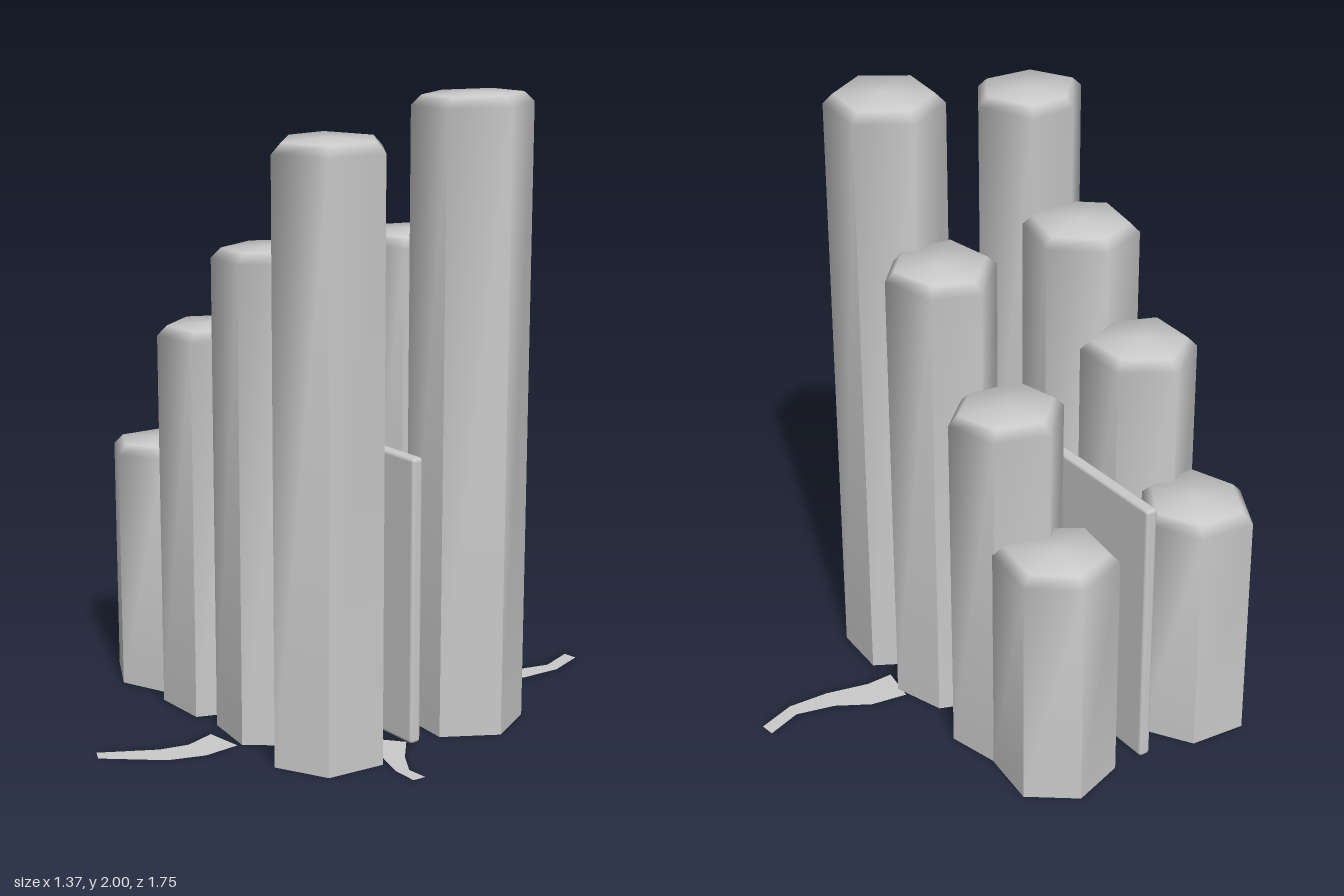
import * as THREE from 'three';
import { RoundedBoxGeometry } from 'three/addons/geometries/RoundedBoxGeometry.js';

// Irregular hexagonal prism with a bevelled, slightly tilted top.
// Lower corners stay sharp, the upper rim and cap are smooth.
function columnGeometry(outline, height, tilt) {
  const n = outline.length;
  const cx = outline.reduce((s, p) => s + p[0], 0) / n;
  const cz = outline.reduce((s, p) => s + p[1], 0) / n;
  const pos = [], idx = [];
  const add = (x, y, z) => pos.push(x, y, z) / 3 - 1;
  const ring = (inset, drop) => outline.map(([x, z]) => {
    const px = cx + (x - cx) * inset, pz = cz + (z - cz) * inset;
    return add(px, height - drop + tilt * (px - cx), pz);
  });
  const rim = ring(1, 0.036), lip = ring(0.83, 0.005);
  const crown = add(cx, height, cz);
  const base = add(cx, 0, cz);
  const floor = outline.map(([x, z]) => add(x, 0, z));
  for (let i = 0; i < n; i++) {
    const j = (i + 1) % n;
    const a = add(outline[i][0], 0, outline[i][1]);
    const b = add(outline[j][0], 0, outline[j][1]);
    idx.push(b, a, rim[i], b, rim[i], rim[j]);
    idx.push(rim[j], rim[i], lip[i], rim[j], lip[i], lip[j]);
    idx.push(crown, lip[j], lip[i]);
    idx.push(base, floor[i], floor[j]);
  }
  const g = new THREE.BufferGeometry();
  g.setAttribute('position', new THREE.Float32BufferAttribute(pos, 3));
  g.setIndex(idx);
  g.computeVertexNormals();
  // Lean the lip normals outward so the cap shades as a soft dome
  outline.forEach(([x, z], i) => {
    const normal = new THREE.Vector3(x - cx, 0, z - cz).setLength(0.5).setY(0.87);
    g.attributes.normal.setXYZ(lip[i], ...normal);
  });
  return g;
}

// Flat strip on the ground between two edge lines.
function crackGeometry(left, right) {
  const pos = [], idx = [];
  left.forEach((l, i) => {
    const r = right[i];
    pos.push(l[0], 0, l[1], r[0], 0, r[1]);
    if (i === 0) return;
    const a = (i - 1) * 2;
    idx.push(a, a + 2, a + 3, a, a + 3, a + 1);
  });
  const g = new THREE.BufferGeometry();
  g.setAttribute('position', new THREE.Float32BufferAttribute(pos, 3));
  g.setIndex(idx);
  g.computeVertexNormals();
  return g;
}

export function createModel() {
  const model = new THREE.Group();
  model.name = 'stoneColumns';
  const stone = new THREE.MeshStandardMaterial({ color: 0xcacaca, name: 'stone grey', side: THREE.DoubleSide });
  const part = (name, geometry) => {
    const mesh = new THREE.Mesh(geometry, stone);
    mesh.name = name;
    model.add(mesh);
    return mesh;
  };

  // Back row: height, tilt, outline as x, z
  const backRow = [
    [0.815, 0.03, [[-0.67, -0.262], [-0.557, -0.402], [-0.36, -0.375], [-0.34, -0.192], [-0.427, -0.057], [-0.612, -0.082]]],
    [1.2, -0.05, [[-0.367, -0.372], [-0.187, -0.41], [-0.067, -0.277], [-0.112, -0.082], [-0.292, -0.057], [-0.428, -0.207]]],
    [1.54, 0.03, [[-0.027, -0.357], [0.143, -0.407], [0.263, -0.292], [0.243, -0.092], [0.053, -0.057], [-0.088, -0.212]]],
    [1.995, 0.04, [[0.303, -0.402], [0.493, -0.387], [0.58, -0.222], [0.478, -0.057], [0.293, -0.072], [0.207, -0.242]]],
  ];
  // Front row
  const frontRow = [
    [0.82, 0.06, [[-0.507, 0.108], [-0.353, 0.208], [-0.353, 0.408], [-0.517, 0.473], [-0.683, 0.383], [-0.663, 0.198]]],
    [1.255, 0.04, [[-0.307, 0.137], [-0.122, 0.133], [-0.057, 0.293], [-0.122, 0.452], [-0.307, 0.452], [-0.408, 0.293]]],
    [1.545, 0.04, [[0.037, 0.118], [0.223, 0.163], [0.273, 0.318], [0.153, 0.468], [-0.027, 0.438], [-0.088, 0.268]]],
    [1.9, 0.0, [[0.388, 0.113], [0.537, 0.218], [0.517, 0.408], [0.353, 0.49], [0.207, 0.348], [0.207, 0.193]]],
  ];
  backRow.forEach(([h, t, o], i) => part('backColumn' + (i + 1), columnGeometry(o, h, t)));
  frontRow.forEach(([h, t, o], i) => part('frontColumn' + (i + 1), columnGeometry(o, h, t)));

  // Thin slab standing between the rows
  part('middleSlab', new RoundedBoxGeometry(1.09, 0.92, 0.04, 2, 0.012)).position.set(-0.073, 0.46, 0.034);

  // Ground cracks winding away from the columns
  part('backCrack', crackGeometry(
    [[0.182, -0.87], [0.222, -0.753], [0.188, -0.628], [0.122, -0.523], [0.1, -0.403]],
    [[0.23, -0.875], [0.272, -0.748], [0.262, -0.613], [0.225, -0.473], [0.225, -0.383]]));
  part('frontCrack', crackGeometry(
    [[0.022, 0.495], [0.049, 0.597], [0.025, 0.691], [-0.072, 0.857]],
    [[0.146, 0.481], [0.151, 0.602], [0.109, 0.717], [-0.031, 0.877]]));
  part('sideCrack', crackGeometry(
    [[0.363, 0.114], [0.462, 0.174], [0.597, 0.217], [0.682, 0.217]],
    [[0.444, 0.049], [0.532, 0.127], [0.616, 0.179], [0.686, 0.174]]));

  return model;
}
